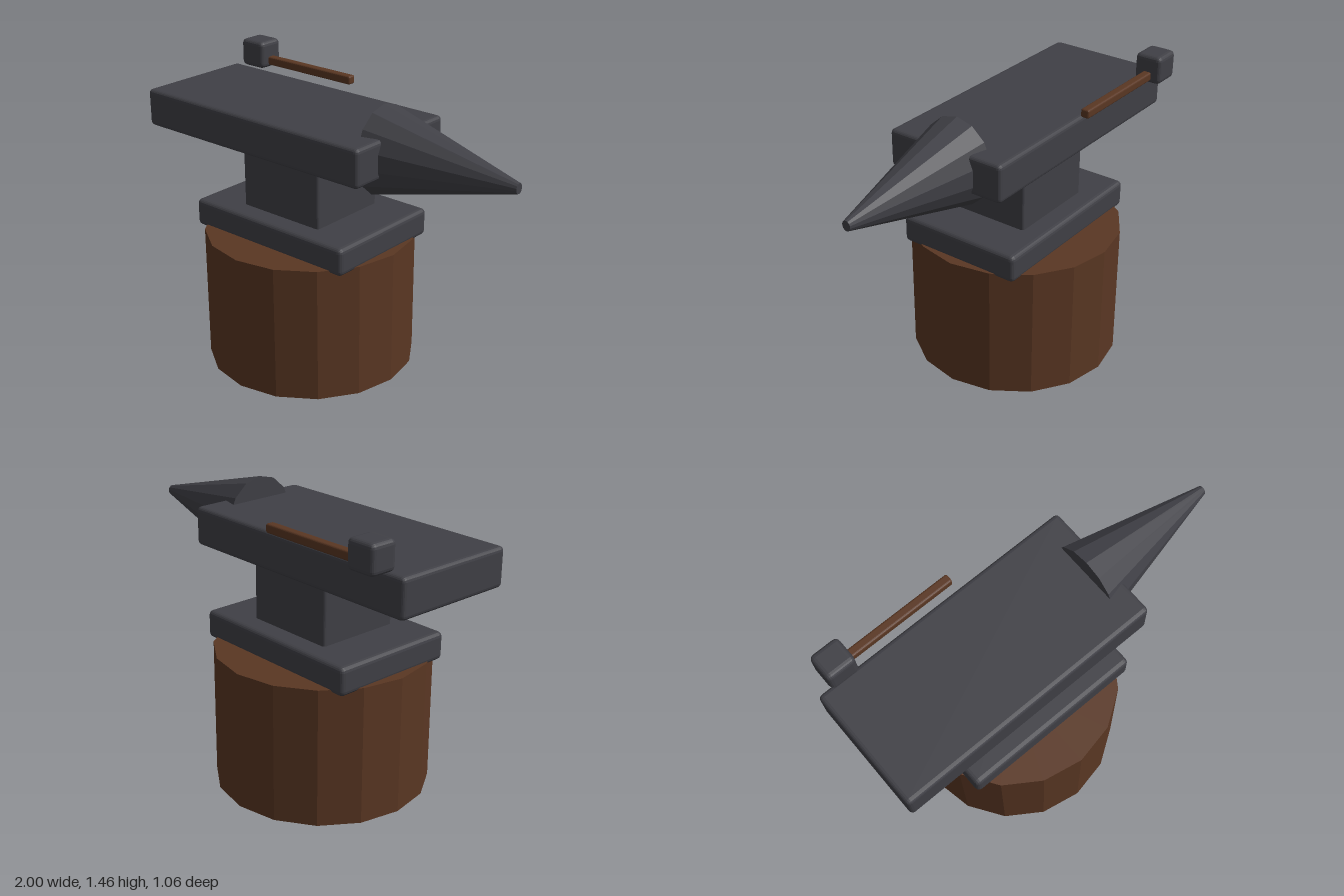
import * as THREE from 'three';
import { RoundedBoxGeometry } from 'three/addons/geometries/RoundedBoxGeometry.js';

export function createModel() {
  const model = new THREE.Group();
  model.name = 'anvilOnStump';

  const steel = new THREE.MeshStandardMaterial({ color: 0x404046 });
  steel.name = 'darkSteel';
  const wood = new THREE.MeshStandardMaterial({ color: 0x5a3723 });
  wood.name = 'brownWood';
  steel.flatShading = wood.flatShading = true;

  function add(parent, name, geometry, material, x, y, z) {
    const mesh = new THREE.Mesh(geometry, material);
    mesh.name = name;
    mesh.position.set(x, y, z);
    parent.add(mesh);
    return mesh;
  }

  // Softened block given by its minimum and maximum corners
  function block(parent, name, material, min, max, radius) {
    const size = max.map((v, i) => v - min[i]);
    const mid = max.map((v, i) => (v + min[i]) / 2);
    return add(parent, name, new RoundedBoxGeometry(...size, 2, radius), material, ...mid);
  }

  // Sixteen-sided wooden stump
  add(model, 'stump', new THREE.CylinderGeometry(0.528, 0.528, 0.688, 16), wood, -0.193, 0.344, 0);

  // Anvil: foot, waist, face and horn
  const anvil = new THREE.Group();
  anvil.name = 'anvil';
  model.add(anvil);
  block(anvil, 'foot', steel, [-0.668, 0.67, -0.328], [0.283, 0.81, 0.328], 0.025);
  block(anvil, 'waist', steel, [-0.435, 0.76, -0.218], [0.05, 1.16, 0.218], 0.015);
  block(anvil, 'face', steel, [-1, 1.123, -0.316], [0.367, 1.313, 0.316], 0.022);

  // Horn: tapered cylinder pointing to +x, slightly narrower in z
  const horn = new THREE.CylinderGeometry(0.025, 0.22, 0.735, 14);
  horn.rotateY(Math.PI / 2);
  horn.rotateZ(-Math.PI / 2);
  horn.scale(1, 1, 0.89);
  add(anvil, 'horn', horn, steel, 0.6325, 1.206, 0);

  // Hammer lying along the back edge
  const hammer = new THREE.Group();
  hammer.name = 'hammer';
  model.add(hammer);
  block(hammer, 'hammerHead', steel, [-0.934, 1.319, -0.429], [-0.783, 1.461, -0.287], 0.024);
  block(hammer, 'hammerHandle', wood, [-0.83, 1.334, -0.381], [-0.226, 1.378, -0.336], 0.01);

  return model;
}
